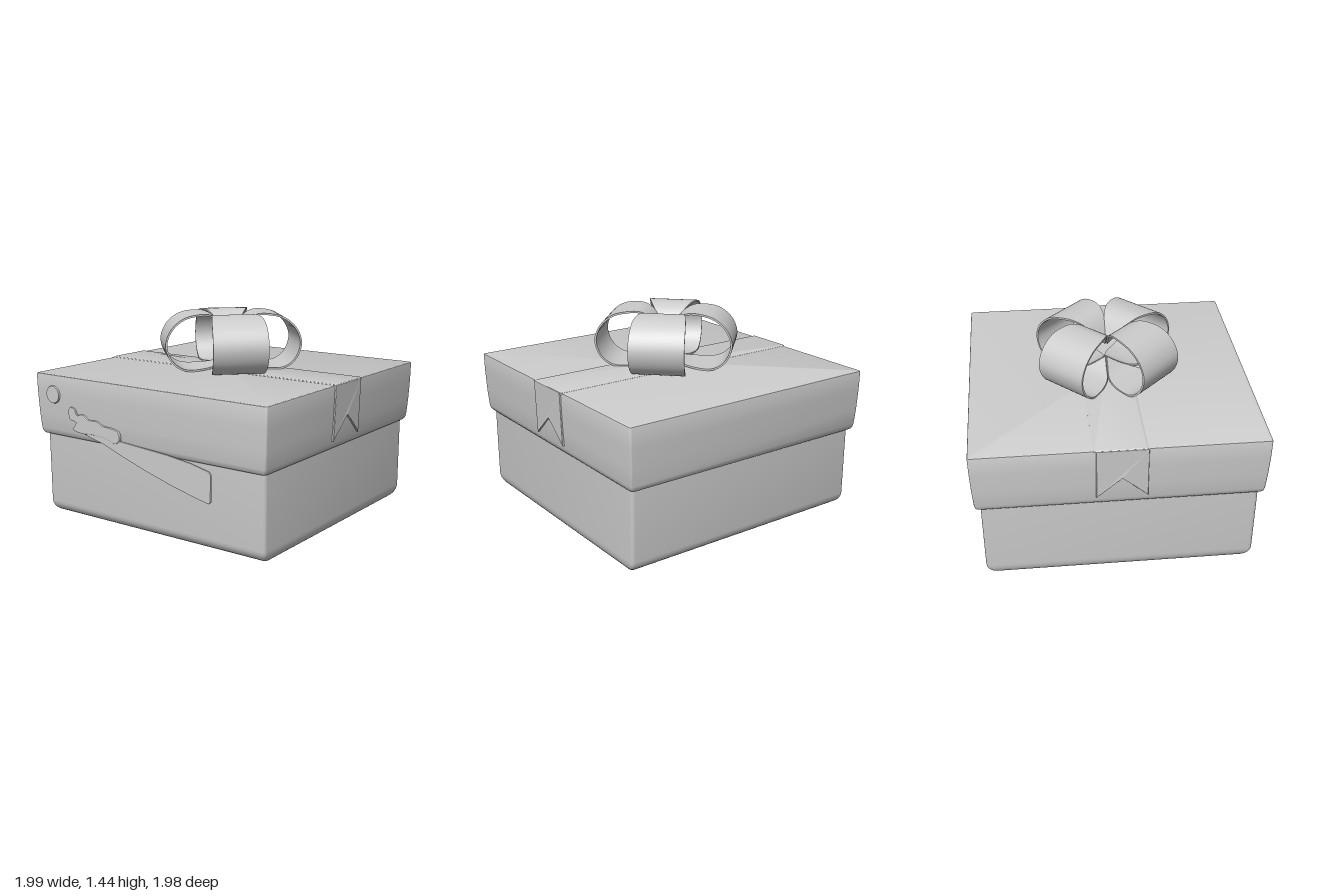
import * as THREE from 'three';
import { toCreasedNormals } from 'three/addons/utils/BufferGeometryUtils.js';

const material = new THREE.MeshStandardMaterial({ color: 0xcccccc, side: THREE.DoubleSide });

function add(parent, name, geometry) {
  const mesh = new THREE.Mesh(geometry, material);
  mesh.name = name;
  parent.add(mesh);
  return mesh;
}

// Skin a stack of closed rings, optionally capped at both ends.
function skin(rings, capped) {
  const n = rings[0].length, pos = rings.flat(2), index = [];
  for (let j = 0; j < rings.length - 1; j++) {
    for (let i = 0; i < n; i++) {
      const a = j * n + i, b = j * n + (i + 1) % n;
      index.push(a, a + n, b, b, a + n, b + n);
    }
  }
  if (capped) {
    const last = (rings.length - 1) * n;
    for (let i = 1; i < n - 1; i++) {
      index.push(0, i, i + 1, last, last + i + 1, last + i);
    }
  }
  const geometry = new THREE.BufferGeometry();
  geometry.setAttribute('position', new THREE.Float32BufferAttribute(pos, 3));
  geometry.setIndex(index);
  return toCreasedNormals(geometry, 0.6);
}

// Horizontal rounded rectangle.
function rectRing(y, hx, hz, cz, r) {
  const ring = [], steps = 4;
  [[1, 1], [-1, 1], [-1, -1], [1, -1]].forEach(([sx, sz], q) => {
    for (let k = 0; k <= steps; k++) {
      const a = (q + k / steps) * Math.PI / 2;
      ring.push([sx * (hx - r) + r * Math.cos(a), y, cz + sz * (hz - r) + r * Math.sin(a)]);
    }
  });
  return ring;
}

function extrude(points, depth, bevel, smooth) {
  const pts = points.map(([x, y]) => new THREE.Vector2(x, y));
  const shape = new THREE.Shape();
  if (smooth) {
    shape.setFromPoints(new THREE.CatmullRomCurve3(
      pts.map(p => new THREE.Vector3(p.x, p.y, 0)), true).getPoints(80).slice(0, -1)
      .map(p => new THREE.Vector2(p.x, p.y)));
  } else shape.setFromPoints(pts);
  return new THREE.ExtrudeGeometry(shape, {
    depth, bevelEnabled: bevel > 0, bevelSize: bevel, bevelOffset: -bevel,
    bevelThickness: bevel, bevelSegments: 2, curveSegments: 8,
  });
}

// One tapering ribbon loop, pointing along +x and narrowing to a point at the middle.
function bowLoop() {
  const profile = new THREE.CatmullRomCurve3([
    [0, 1.14], [0.1, 1.065], [0.2, 1.042], [0.36, 1.045], [0.45, 1.11], [0.49, 1.23],
    [0.45, 1.34], [0.36, 1.415], [0.25, 1.44], [0.17, 1.435], [0.1, 1.395], [0, 1.26],
  ].map(([r, y]) => new THREE.Vector3(r, y, 0)));
  const rings = [], steps = 64, thickness = 0.013;
  for (let i = 0; i <= steps; i++) {
    const p = profile.getPointAt(i / steps), t = profile.getTangentAt(i / steps);
    const w = Math.max(0, Math.min(p.x, 0.2 * (1 - Math.exp(-p.x / 0.14))));
    const ix = Math.max(0, p.x - t.y * thickness), iy = p.y + t.x * thickness;
    rings.push([[p.x, p.y, -w], [p.x, p.y, w], [ix, iy, w], [ix, iy, -w]]);
  }
  return skin(rings, false);
}

export function createModel() {
  const model = new THREE.Group();
  model.name = 'giftBox';

  // Box body: the bottom edge curves wider along z than along x
  const body = [];
  for (let k = 0; k <= 6; k++) {
    const a = k / 6 * Math.PI / 2, inset = 1 - Math.sin(a), rise = 1 - Math.cos(a);
    body.push(rectRing(0.004 + 0.085 * rise, 0.938 - 0.045 * inset, 0.926 - 0.09 * inset, -0.003, 0.025));
  }
  body.push(rectRing(0.62, 0.938, 0.93, -0.003, 0.025));
  add(model, 'boxBody', skin(body, true));

  // Lid: slight taper, rounded lower rim, crisp top
  add(model, 'lid', skin([
    [0.593, 0.935], [0.597, 0.95], [0.61, 0.96], [0.635, 0.966], [0.75, 0.974],
    [0.9, 0.98], [1.025, 0.982], [1.032, 0.98], [1.035, 0.974],
  ].map(([y, h]) => rectRing(y, h, h + 0.002, -0.004, 0.015)), true));

  // Ribbon across the lid
  add(model, 'lidRibbon', skin([
    [1.02, 0.988, 0.178], [1.036, 0.988, 0.178], [1.041, 0.982, 0.17],
  ].map(([y, hx, hz]) => rectRing(y, hx, hz, -0.012, 0.01)), true));

  // Notched ribbon tails on both sides
  for (const side of [1, -1]) {
    const tail = add(model, side > 0 ? 'leftRibbonTail' : 'rightRibbonTail', extrude(
      [[-0.172, 0.655], [0, 0.81], [0.172, 0.655], [0.172, 1.035], [-0.172, 1.035]], 0.015, 0.005, false));
    // Lean the tail to follow the lid wall
    const p = tail.geometry.attributes.position;
    for (let i = 0; i < p.count; i++) {
      p.setZ(i, p.getZ(i) + 0.974 - Math.pow(Math.max(0, 0.95 - p.getY(i)), 1.5) * 0.08);
    }
    tail.geometry.computeVertexNormals();
    tail.rotation.y = side * Math.PI / 2;
  }

  // Bow of four diagonal loops
  const bow = new THREE.Group();
  bow.name = 'bow';
  bow.position.z = -0.01;
  const loop = bowLoop();
  for (let k = 0; k < 4; k++) {
    add(bow, 'bowLoop', loop).rotation.y = Math.PI / 4 + k * Math.PI / 2;
  }
  model.add(bow);

  // Small round seal on the front of the lid
  const seal = add(model, 'frontSeal', new THREE.CylinderGeometry(0.06, 0.067, 0.02, 32));
  seal.rotation.x = Math.PI / 2;
  seal.position.set(-0.815, 0.895, 0.979);

  // Flat strip hanging over the front
  add(model, 'frontStrip', extrude([
    [-0.6, 0.665], [-0.5, 0.64], [-0.35, 0.605], [-0.2, 0.55], [0, 0.485], [0.25, 0.413],
    [0.45, 0.366], [0.545, 0.347], [0.56, 0.36], [0.562, 0.54], [0.55, 0.56], [0.4, 0.592],
    [0.2, 0.617], [-0.2, 0.645], [-0.4, 0.68],
  ], 0.008, 0.003, false)).position.z = 0.971;

  // Wavy raised grip at the end of the strip
  add(model, 'stripGrip', extrude([
    [-0.66, 0.82], [-0.61, 0.815], [-0.59, 0.775], [-0.54, 0.785], [-0.48, 0.755], [-0.41, 0.755],
    [-0.35, 0.73], [-0.28, 0.725], [-0.21, 0.705], [-0.2, 0.65], [-0.24, 0.622], [-0.32, 0.645],
    [-0.45, 0.655], [-0.56, 0.65], [-0.63, 0.672], [-0.6, 0.72], [-0.66, 0.74],
  ], 0.012, 0.006, true)).position.z = 0.969;

  return model;
}
